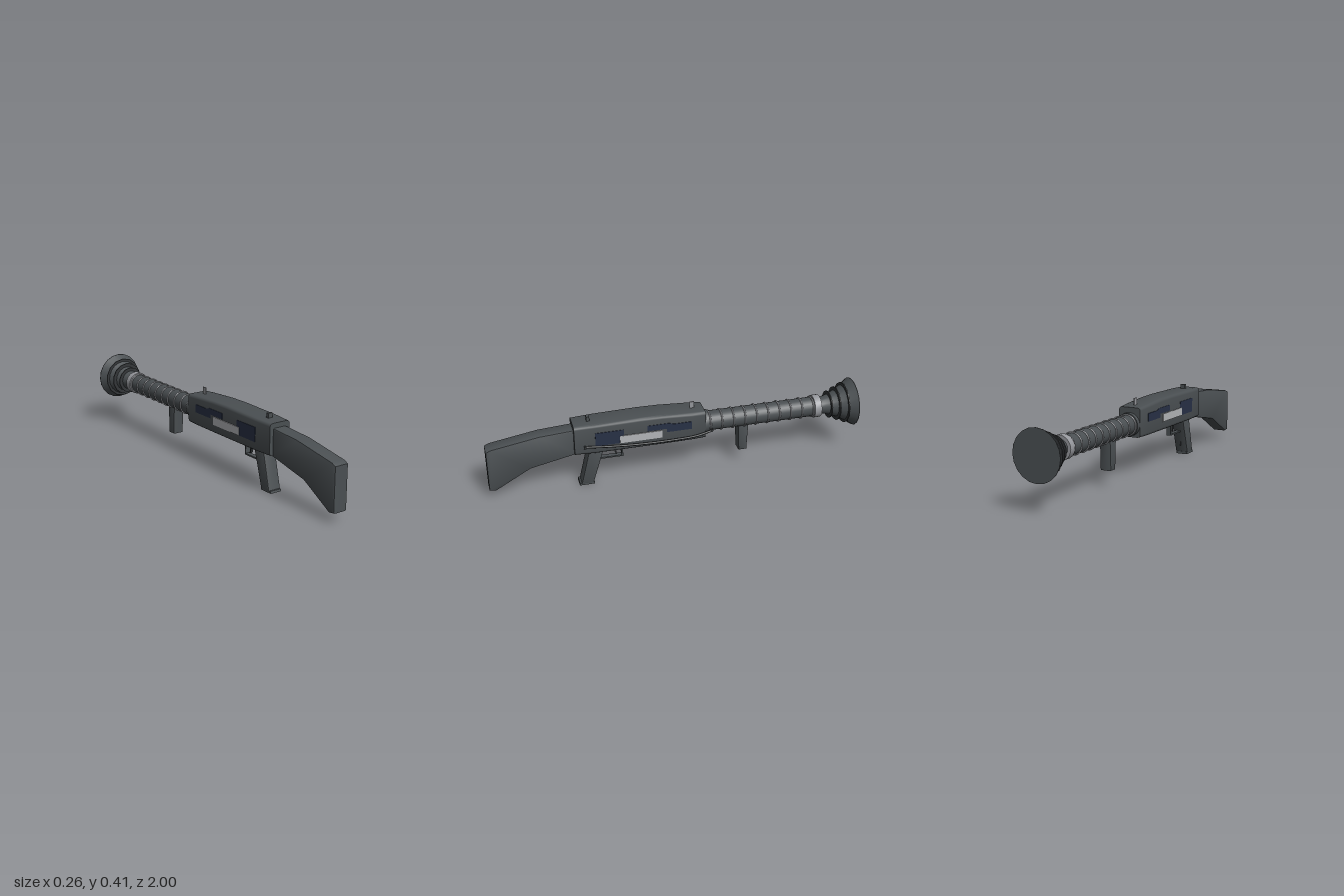
import * as THREE from 'three';
import { toCreasedNormals } from 'three/addons/utils/BufferGeometryUtils.js';

const material = (name, color, extra = {}) => {
  const m = new THREE.MeshStandardMaterial({ color, ...extra });
  m.name = name;
  return m;
};

export function createModel() {
  const gun = new THREE.Group();
  gun.name = 'launcher';
  const metal = material('gunmetal', 0x4a4f52);
  const dark = material('dark metal', 0x333638);
  const navy = material('navy panel', 0x283146);
  const pale = material('pale plate', 0xb4b6b9);
  const steel = material('steel', 0x96989d);
  const AXIS = 0.276; // height of the barrel axis

  const add = (name, geometry, mat, x = 0, y = 0, z = 0) => {
    const mesh = new THREE.Mesh(geometry, mat);
    mesh.name = name;
    mesh.position.set(x, y, z);
    gun.add(mesh);
    return mesh;
  };
  const box = (name, w, h, d, mat, x, y, z) =>
    add(name, new THREE.BoxGeometry(w, h, d), mat, x, y, z);

  // Side outline of [z, y] points, given thickness along x
  const slab = (points, width, bevel = 0) => {
    const shape = new THREE.Shape(points.map(([z, y]) => new THREE.Vector2(z, y)));
    const depth = width - 2 * bevel;
    const geo = new THREE.ExtrudeGeometry(shape, {
      depth, bevelEnabled: bevel > 0, bevelThickness: bevel,
      bevelSize: bevel, bevelOffset: -bevel, bevelSegments: 2,
    });
    geo.translate(0, 0, -depth / 2);
    geo.rotateY(-Math.PI / 2);
    return toCreasedNormals(geo, 0.5);
  };

  // Profile of [radius, z] points running towards the muzzle, turned about the barrel axis
  const turned = (points, sides) => {
    const geo = new THREE.LatheGeometry(points.map(([r, z]) => new THREE.Vector2(r, -z)), sides);
    geo.rotateX(-Math.PI / 2);
    return toCreasedNormals(geo, 0.5);
  };
  const drum = (name, r, z0, z1, mat, sides = 24) =>
    add(name, turned([[0, z0], [r, z0], [r, z1], [0, z1]], sides), mat, 0, AXIS);

  // Rounded rectangular sections [z, halfWidth, bottom, top], from high z to low z
  const loft = (sections, radius) => {
    const rings = sections.map(([z, w, y0, y1]) => {
      const ring = [];
      const corners = [[1, y1, 0], [-1, y1, 1], [-1, y0, 2], [1, y0, 3]];
      for (const [sx, y, q] of corners) {
        const sy = q < 2 ? 1 : -1;
        for (let k = 0; k <= 3; k++) {
          const a = (q + k / 3) * Math.PI / 2;
          ring.push([sx * (w - radius) + radius * Math.cos(a), y - sy * radius + radius * Math.sin(a), z]);
        }
      }
      return ring;
    });
    const pos = [];
    const tri = (...p) => p.forEach((v) => pos.push(...v));
    const n = rings[0].length;
    const last = rings[rings.length - 1];
    for (let j = 0; j < n; j++) {
      const k = (j + 1) % n;
      for (let i = 0; i < rings.length - 1; i++) {
        const a = rings[i][j], b = rings[i][k], c = rings[i + 1][k], d = rings[i + 1][j];
        tri(a, d, c);
        tri(a, c, b);
      }
      if (j > 0 && k > 0) {
        tri(rings[0][0], rings[0][j], rings[0][k]);
        tri(last[0], last[k], last[j]);
      }
    }
    const geo = new THREE.BufferGeometry();
    geo.setAttribute('position', new THREE.Float32BufferAttribute(pos, 3));
    return toCreasedNormals(geo, 0.6);
  };

  // Receiver, slightly swollen in the middle
  add('receiver', loft([
    [0.548, 0.061, 0.208, 0.375], [0.44, 0.067, 0.207, 0.378], [0.2, 0.068, 0.207, 0.382],
    [0.08, 0.068, 0.207, 0.38], [-0.08, 0.067, 0.207, 0.37], [-0.153, 0.063, 0.208, 0.365],
  ], 0.016), metal);

  // Shoulder stock
  add('stock', slab([
    [0.53, 0.205], [0.78, 0.153], [0.965, 0.048], [1, 0.053], [1, 0.285],
    [0.975, 0.297], [0.725, 0.338], [0.53, 0.35],
  ], 0.08, 0.007), metal);

  // Inlaid plates on both flanks
  for (const side of [-1, 1]) {
    const x = side * 0.067;
    add('rearPanel', slab([[0.29, 0.255], [0.44, 0.255], [0.44, 0.332], [0.29, 0.332]], 0.006), navy, x);
    add('frontPanel', slab([
      [-0.075, 0.282], [0.06, 0.282], [0.06, 0.303], [0.165, 0.303],
      [0.165, 0.335], [0.05, 0.335], [0.02, 0.326], [-0.075, 0.326],
    ], 0.006), navy, x);
    box('sidePlate', 0.009, 0.043, 0.225, pale, side * 0.0675, 0.276, 0.198);
  }

  // Bent rod along the left flank
  const rodPath = new THREE.CatmullRomCurve3([
    [0.068, 0.257, 0.5], [0.076, 0.248, 0.38], [0.08, 0.238, 0.22],
    [0.08, 0.235, 0.02], [0.076, 0.238, -0.1], [0.069, 0.254, -0.19],
  ].map((p) => new THREE.Vector3(...p)));
  add('sideRod', new THREE.TubeGeometry(rodPath, 24, 0.006, 8), dark);
  for (const z of [0.495, -0.185]) {
    box('rodEnd', 0.014, 0.014, 0.012, dark, 0.068, 0.256, z);
  }

  // Barrel with evenly spaced rings
  drum('barrelCollar', 0.062, -0.15, -0.178, metal);
  drum('barrel', 0.053, -0.15, -0.8, metal);
  for (let i = 0; i < 10; i++) {
    const ring = new THREE.TorusGeometry(0.0545, 0.0045, 8, 28);
    add('barrelRing', ring, steel, 0, AXIS, -0.184 - i * 0.0645);
  }
  drum('muzzleCollar', 0.062, -0.772, -0.81, steel);

  // Flared muzzle with a closed end and thin fins
  add('muzzleBell', turned([
    [0.044, -0.8], [0.046, -0.825], [0.055, -0.86], [0.073, -0.905],
    [0.098, -0.95], [0.131, -0.997], [0.131, -1], [0, -1],
  ], 20), metal, 0, AXIS);
  for (const [z, r] of [[-0.865, 0.075], [-0.907, 0.093], [-0.95, 0.112]]) {
    drum('muzzleFin', r, z + 0.003, z - 0.003, dark, 14);
  }

  // Pistol grip with base plate and a thin front strip
  add('grip', slab([[0.452, 0.01], [0.517, 0.01], [0.468, 0.215], [0.39, 0.215]], 0.074, 0.006), metal);
  add('gripBase', slab([[0.448, 0], [0.528, 0], [0.525, 0.012], [0.448, 0.014]], 0.066), metal);
  box('gripStrip', 0.006, 0.11, 0.005, dark, 0, 0.105, 0.433);

  // Trigger guard and trigger
  box('guardBottom', 0.026, 0.008, 0.122, metal, 0, 0.14, 0.346);
  box('guardFront', 0.026, 0.075, 0.008, metal, 0, 0.174, 0.289);
  add('trigger', slab([[0.318, 0.152], [0.325, 0.152], [0.34, 0.21], [0.328, 0.21]], 0.014), dark);

  // Fore grip
  add('foreGrip', slab([
    [-0.397, 0.08], [-0.352, 0.08], [-0.343, 0.24], [-0.402, 0.24],
  ], 0.062, 0.005), metal);

  // Sights
  box('rearSight', 0.026, 0.03, 0.016, metal, 0, 0.387, 0.465);
  box('frontSight', 0.006, 0.045, 0.024, steel, 0, 0.383, -0.092);

  return gun;
}
